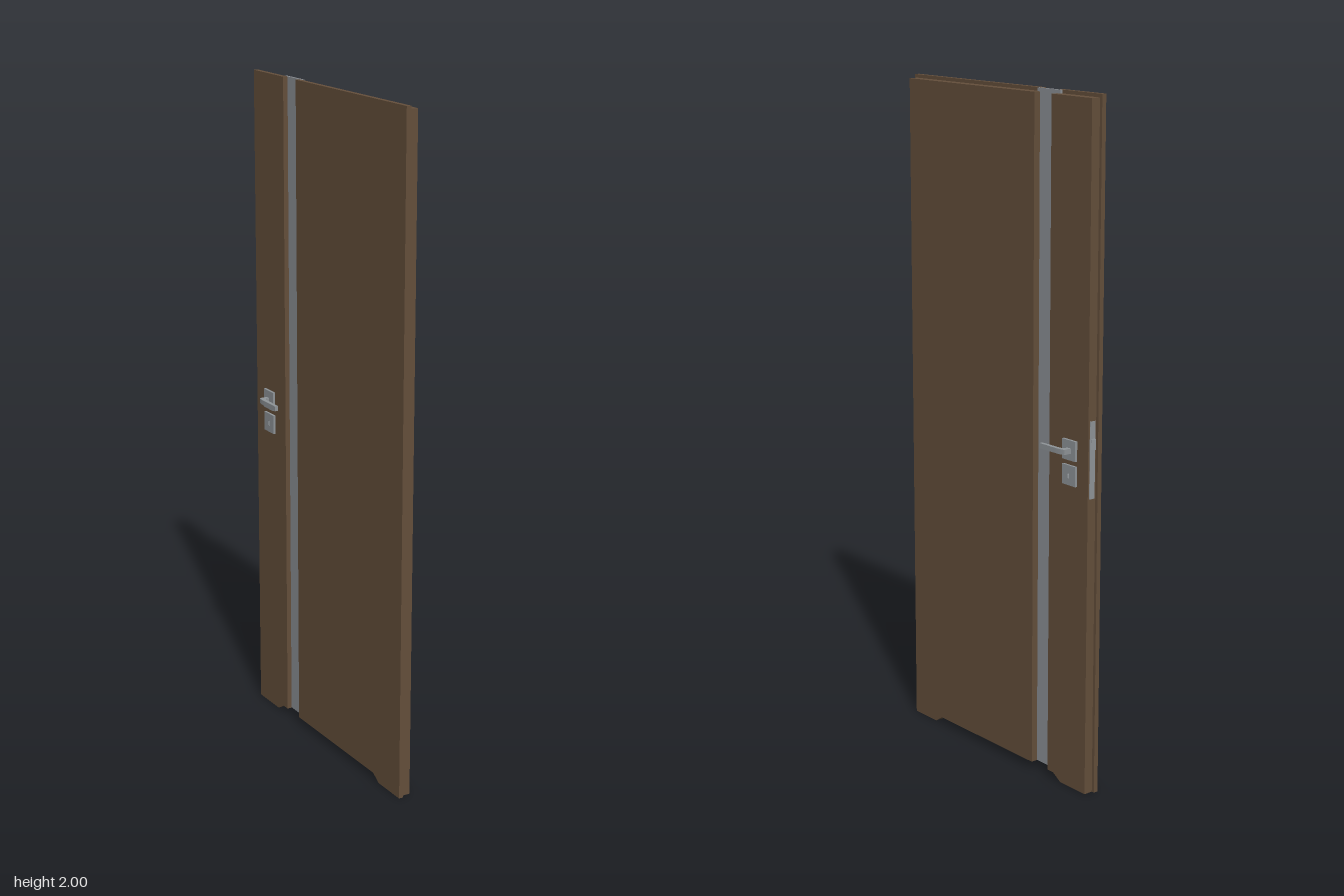
import * as THREE from 'three';

const wood = new THREE.MeshStandardMaterial({ color: 0x644f3b });
wood.name = 'brown wood';
const steel = new THREE.MeshStandardMaterial({ color: 0x8f9498 });
steel.name = 'satin steel';
const glass = new THREE.MeshStandardMaterial({ color: 0x8c9095 });
glass.name = 'grey glass';

const KEY_U = 0.33, KEY_Y = 0.94, LEVER_Y = 1.013;

function add(parent, name, geometry, material) {
  const mesh = new THREE.Mesh(geometry, material);
  mesh.name = name;
  parent.add(mesh);
  return mesh;
}

function polygon(points) {
  return new THREE.Shape(points.map(([a, b]) => new THREE.Vector2(a, b)));
}

function box(x0, x1, y0, y1, z0, z1) {
  return new THREE.BoxGeometry(x1 - x0, y1 - y0, z1 - z0)
    .translate((x0 + x1) / 2, (y0 + y1) / 2, (z0 + z1) / 2);
}

// Side outline (u = -z, v = y) given thickness from x0 to x1
function slab(shape, x0, x1) {
  return new THREE.ExtrudeGeometry(shape, { depth: x1 - x0, bevelEnabled: false, curveSegments: 8 })
    .rotateY(Math.PI / 2).translate(x0, 0, 0);
}

// Slot through the plates and leaf
function keyhole() {
  const p = new THREE.Path();
  p.absarc(KEY_U, KEY_Y + 0.004, 0.004, -0.6, Math.PI + 0.6, false);
  p.lineTo(KEY_U - 0.002, KEY_Y - 0.009);
  p.lineTo(KEY_U + 0.002, KEY_Y - 0.009);
  p.closePath();
  return p;
}

function wideOutline(edge, top) {
  return polygon([[edge, 0], [-0.3, 0], [-0.27, 0.02], [0.168, 0.02], [0.168, top], [edge, top]]);
}

function narrowOutline(edge, top) {
  const s = polygon([[0.24, 0.02], [0.265, 0.02], [0.298, 0], [edge, 0], [edge, top], [0.24, top]]);
  s.holes.push(keyhole());
  return s;
}

// Handle, rose and key plate for the +x side
function handleSet(name) {
  const g = new THREE.Group();
  g.name = name;
  add(g, 'handleRose', box(0.02, 0.028, 0.985, 1.043, -0.359, -0.303), steel);
  const plate = polygon([[0.303, 0.912], [0.359, 0.912], [0.359, 0.97], [0.303, 0.97]]);
  plate.holes.push(keyhole());
  add(g, 'keyPlate', slab(plate, 0.02, 0.027), steel);

  // Bent lever drawn in plan (x, -z), extruded upward
  const s = new THREE.Shape();
  s.moveTo(0.027, 0.326);
  s.lineTo(0.036, 0.326);
  s.quadraticCurveTo(0.044, 0.325, 0.0445, 0.306);
  s.lineTo(0.046, 0.24);
  s.lineTo(0.0565, 0.24);
  s.lineTo(0.0565, 0.305);
  s.quadraticCurveTo(0.056, 0.33, 0.052, 0.341);
  s.lineTo(0.027, 0.341);
  s.closePath();
  const lever = new THREE.ExtrudeGeometry(s, { depth: 0.015, bevelEnabled: false, curveSegments: 8 })
    .rotateX(-Math.PI / 2).translate(0, LEVER_Y - 0.0075, 0);
  add(g, 'lever', lever, steel);
  return g;
}

export function createModel() {
  const door = new THREE.Group();
  door.name = 'door';

  // Leaf in two layers: the thin one overlaps the thick one as a rebate
  add(door, 'wideRebateLayer', slab(wideOutline(-0.412, 2), -0.022, -0.008), wood);
  add(door, 'widePanel', slab(wideOutline(-0.402, 1.99), -0.008, 0.02), wood);
  add(door, 'narrowRebateLayer', slab(narrowOutline(0.414, 2), -0.022, -0.008), wood);
  add(door, 'narrowPanel', slab(narrowOutline(0.405, 1.99), -0.008, 0.02), wood);

  // Glass strip, held in grooves between the panels
  add(door, 'glassStrip', box(-0.0075, 0, 0.021, 2, -0.254, -0.157), glass);

  // Handles on both faces, mirrored about the middle of the leaf
  door.add(handleSet('rightHandle'));
  const other = handleSet('leftHandle');
  other.traverse((o) => {
    if (!o.isMesh) return;
    o.geometry.scale(-1, 1, 1).translate(-0.002, 0, 0);
    // Restore the outward winding after mirroring
    const geo = o.geometry;
    if (!geo.index) geo.setIndex([...Array(geo.attributes.position.count).keys()]);
    const a = geo.index.array;
    for (let i = 0; i < a.length; i += 3) [a[i], a[i + 1]] = [a[i + 1], a[i]];
    geo.computeVertexNormals();
  });
  door.add(other);

  // Lock plate and wedge latch on the closing edge
  add(door, 'lockPlate', box(-0.004, 0.015, 0.885, 1.108, -0.4065, -0.404), steel);
  const wedge = polygon([[0, 0.404], [0.012, 0.404], [0.012, 0.408], [0.003, 0.415], [0, 0.415]]);
  add(door, 'latch', new THREE.ExtrudeGeometry(wedge, { depth: 0.03, bevelEnabled: false })
    .rotateX(-Math.PI / 2).translate(0, 1.028, 0), steel);

  return door;
}
